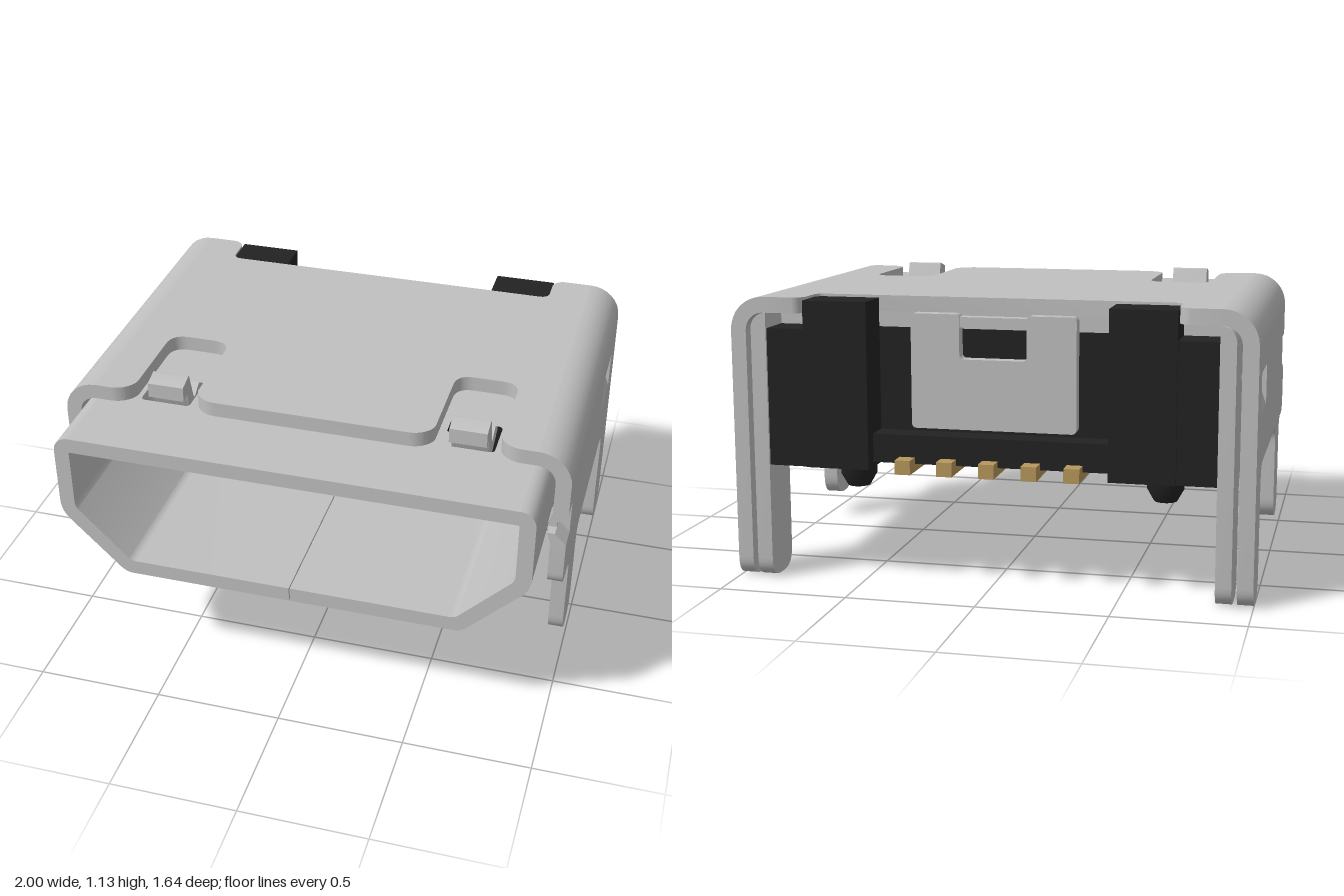
import * as THREE from 'three';
import { toCreasedNormals } from 'three/addons/utils/BufferGeometryUtils.js';

const mat = (name, color) => Object.assign(new THREE.MeshStandardMaterial({ color }), { name });

// Polygon from [x, y, cornerRadius] points
function poly(points, Type = THREE.Shape) {
  const path = new Type();
  const n = points.length;
  points.forEach(([x, y, r = 0], i) => {
    const toward = ([px, py]) => {
      const d = Math.hypot(px - x, py - y) || 1;
      return [x + (px - x) * r / d, y + (py - y) * r / d];
    };
    const a = toward(points[(i + n - 1) % n]), b = toward(points[(i + 1) % n]);
    if (i === 0) path.moveTo(...a); else path.lineTo(...a);
    if (r > 0) path.quadraticCurveTo(x, y, ...b);
  });
  path.closePath();
  return path;
}
const rect = (x0, x1, y0, y1, r = 0) => [[x0, y0, r], [x1, y0, r], [x1, y1, r], [x0, y1, r]];

function extrude(points, depth, holes = []) {
  const shape = poly(points);
  shape.holes = holes.map((h) => poly(h, THREE.Path));
  return new THREE.ExtrudeGeometry(shape, { depth, bevelEnabled: false, curveSegments: 8 });
}
// Section in x, y swept from z0 to z1
const alongZ = (pts, z0, z1, holes) => extrude(pts, z1 - z0, holes).translate(0, 0, z0);
// Outline in z, y with thickness from x0 to x1
const alongX = (pts, x0, x1, holes) => extrude(pts, x1 - x0, holes).rotateY(-Math.PI / 2).translate(x1, 0, 0);
// Outline in x, z with thickness from y0 to y1
const flip = (pts) => pts.map(([x, z, r]) => [x, -z, r]);
const alongY = (pts, y0, y1, holes = []) =>
  extrude(flip(pts), y1 - y0, holes.map(flip)).rotateX(-Math.PI / 2).translate(0, y0, 0);

// Quarter ring for a bent sheet edge
function bend(s, cx, cy, rIn, rOut, z0, z1) {
  const pts = [], n = 8;
  const arc = (r, t) => pts.push([s * (cx + r * Math.cos(t)), cy + r * Math.sin(t)]);
  for (let i = 0; i <= n; i++) arc(rOut, i / n * Math.PI / 2);
  if (rIn > 0) for (let i = n; i >= 0; i--) arc(rIn, i / n * Math.PI / 2);
  else pts.push([s * cx, cy]);
  return alongZ(pts, z0, z1);
}

export function createModel() {
  const steel = mat('steel', 0xc0c0c0);
  const plastic = mat('black plastic', 0x222222);
  const gold = mat('gold contact', 0xb8985c);
  const root = new THREE.Group();
  root.name = 'connector';
  const add = (name, geometry, material) => {
    const mesh = new THREE.Mesh(toCreasedNormals(geometry, 0.6), material);
    mesh.name = name;
    root.add(mesh);
  };
  const box = (name, x0, x1, y0, y1, z0, z1, m) =>
    add(name, new THREE.BoxGeometry(x1 - x0, y1 - y0, z1 - z0)
      .translate((x0 + x1) / 2, (y0 + y1) / 2, (z0 + z1) / 2), m);
  // Spread a sheet section between two sides without caring about their order
  const sideX = (s, a, b) => (s > 0 ? [a, b] : [-b, -a]);

  // Outer cover roof: two latch notches in front, one wide notch behind
  const halfRoof = [[0.42, 0.52, 0.04], [0.47, 0.47, 0.03], [0.47, 0.07, 0.07],
    [0.72, 0.07, 0.07], [0.72, 0.47, 0.03], [0.77, 0.52, 0.04], [0.87, 0.52],
    [0.87, -0.82], [0.74, -0.82, 0.02], [0.71, -0.79, 0.02], [0.71, -0.66, 0.04]];
  const mirrored = halfRoof.map(([x, z, r]) => [-x, z, r]).reverse();
  add('coverRoof', alongY([...halfRoof, ...mirrored], 1.04, 1.1), steel);

  // Inner shell roof with latch openings
  const latchHole = (s) => rect(...sideX(s, 0.5, 0.7), 0.3, 0.48, 0.02);
  add('shellRoof', alongY(rect(-0.86, 0.86, -0.66, 0.82), 0.98, 1.04, [latchHole(1), latchHole(-1)]), steel);

  for (const s of [1, -1]) {
    // Cover side wall with front and rear solder legs
    const wall = [[0.52, 0.97], [0.52, 0.84], [0.43, 0.84], [0.43, 0.7], [0.52, 0.7],
      [0.52, 0.5, 0.06], [0.325, 0.5, 0.07], [0.325, 0.1, 0.09], [0.13, 0.1, 0.09],
      [0.13, 0.5, 0.07], [-0.62, 0.5, 0.08], [-0.62, 0, 0.08], [-0.82, 0, 0.08], [-0.82, 0.97]];
    const window = rect(-0.68, -0.45, 0.7, 0.855);
    add('coverSide', alongX(wall, ...sideX(s, 0.94, 1), [window]), steel);
    add('coverBend', bend(s, 0.87, 0.97, 0.07, 0.13, -0.82, 0.52), steel);
    // Lanced tab leaning inward in the window
    add('sideTab', alongZ([[s, 0.7], [s * 0.95, 0.84], [s * 0.925, 0.84], [s * 0.94, 0.7]], -0.68, -0.45), steel);
    // Crimp at the front edge
    for (const u of [1, -1]) {
      const y = (d) => 0.77 + u * d;
      add('crimp', alongZ([[s, y(0.07)], [s * 0.955, y(0.025)], [s * 0.925, y(0.025)], [s * 0.94, y(0.07)]], 0.43, 0.52), steel);
    }
    add('crimpBack', alongZ(rect(...sideX(s, 0.925, 0.955), 0.744, 0.796), 0.43, 0.475), steel);

    // Half of the inner shell, split by the seam at the bottom
    add('shellHalf', alongZ([[0.002, 0.45], [0.67, 0.45, 0.03], [0.92, 0.7, 0.05], [0.92, 0.98], [0.86, 0.98],
      [0.86, 0.73, 0.02], [0.645, 0.51, 0.02], [0.002, 0.51]].map(([x, y, r]) => [s * x, y, r]), -0.3, 0.82), steel);
    add('shellBend', bend(s, 0.86, 0.98, 0, 0.06, -0.82, 0.82), steel);
    add('shellRearSide', alongX([[-0.3, 0.98], [-0.3, 0.62], [-0.4, 0.6], [-0.4, 0.46, 0.03],
      [-0.62, 0.46, 0.06], [-0.62, 0, 0.08], [-0.82, 0, 0.08], [-0.82, 0.98]], ...sideX(s, 0.86, 0.92)), steel);

    // Spring latch rising through the roof, with its bump in the cavity
    add('latch', alongX([[0.25, 1.04], [0.3, 1.04, 0.02], [0.36, 1.0, 0.02], [0.4, 1.13, 0.01], [0.47, 1.11],
      [0.47, 1.05], [0.43, 1.06], [0.4, 0.95, 0.02], [0.34, 0.95, 0.02], [0.25, 0.99]], ...sideX(s, 0.525, 0.67)), steel);
    add('latchBump', alongZ([[0.33, 0.985], [0.34, 0.93, 0.03], [0.4, 0.912, 0.02], [0.54, 0.912, 0.02],
      [0.6, 0.95, 0.02], [0.61, 0.985]].map(([x, y, r]) => [s * x, y, r]), 0.3, 0.42), steel);

    // Rear plastic blocks and locating peg
    box('rearBlock', ...sideX(s, 0.46, 0.86), 0.45, 0.98, -0.81, -0.66, plastic);
    box('rearPost', ...sideX(s, 0.46, 0.71), 0.45, 1.09, -0.82, -0.662, plastic);
    add('peg', new THREE.LatheGeometry([[0, 0.305], [0.045, 0.305], [0.073, 0.355], [0.073, 0.46]]
      .map((p) => new THREE.Vector2(...p)), 24).translate(s * 0.625, 0, -0.46), plastic);
  }

  // Plastic body, rear shelf and contact tongue
  box('body', -0.86, 0.86, 0.452, 0.98, -0.66, -0.3, plastic);
  box('rearShelf', -0.46, 0.46, 0.47, 0.58, -0.76, -0.66, plastic);
  add('tongue', alongZ(rect(-0.435, 0.435, 0.765, 0.908, 0.04), -0.3, 0.5), plastic);

  // Folded rear flap with a window open at its top
  add('rearFlap', alongZ([[-0.32, 0.6, 0.02], [0.32, 0.6, 0.02], [0.32, 1.04, 0.02], [0.13, 1.04, 0.02],
    [0.13, 0.87, 0.02], [-0.13, 0.87, 0.02], [-0.13, 1.04, 0.02], [-0.32, 1.04, 0.02]], -0.71, -0.66), steel);
  box('flapBridge', -0.13, 0.13, 0.99, 1.03, -0.705, -0.66, steel);

  // Five contacts: tongue faces and solder tails
  for (let i = -2; i <= 2; i++) {
    const x = i * 0.1625;
    box('contactTip', x - 0.025, x + 0.025, 0.783, 0.82, 0.45, 0.505, gold);
    box('contactStrip', x - 0.03, x + 0.03, 0.755, 0.77, -0.3, 0.45, gold);
    box('solderTail', x - 0.03, x + 0.03, 0.44, 0.495, -0.825, -0.56, gold);
  }
  return root;
}
